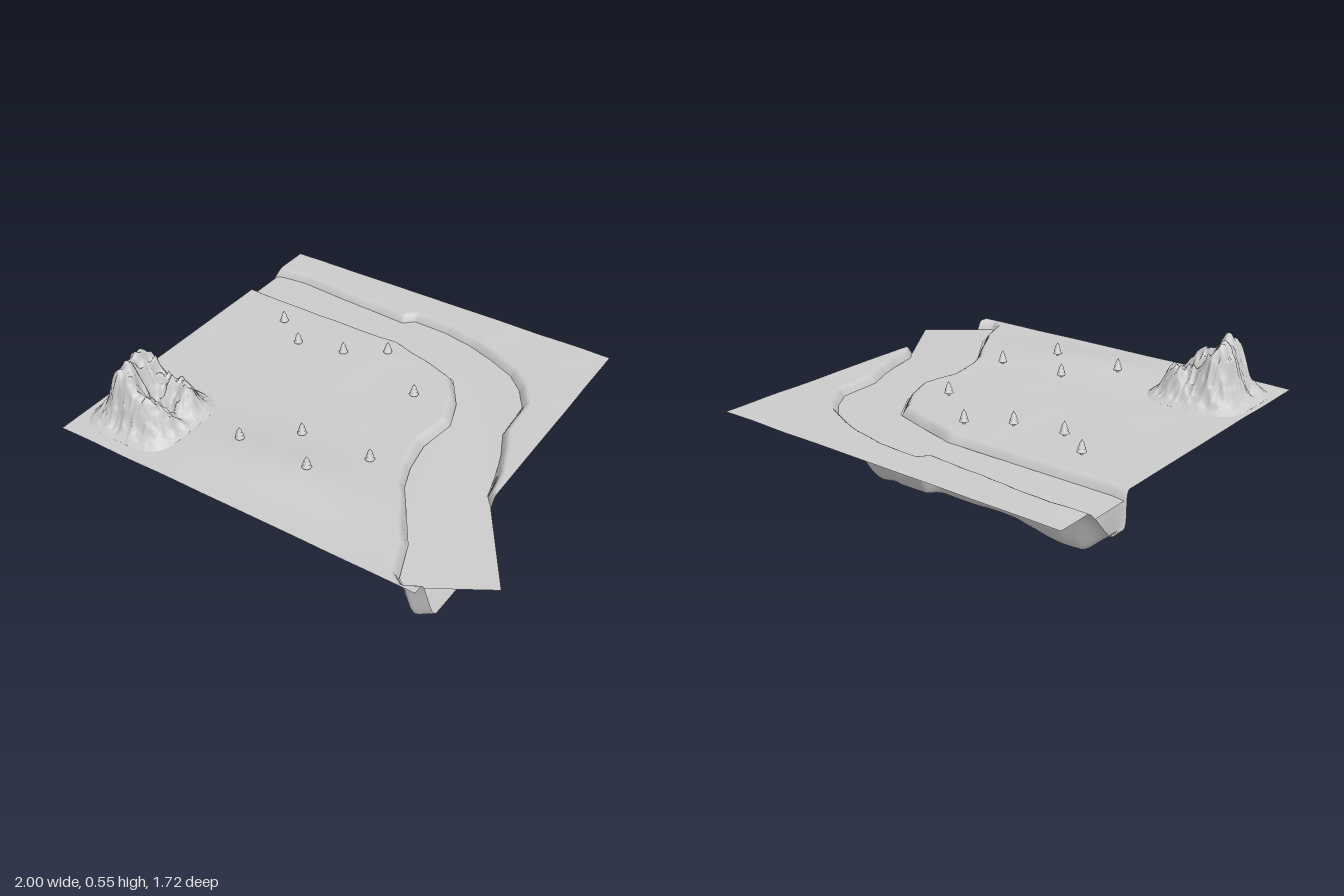
import * as THREE from 'three';

// Water outline as [x, z]: outer bank, then inner bank
const outer = [[-0.96, -0.66], [-0.91, -0.68], [-0.8, -0.685], [-0.57, -0.665], [-0.4, -0.66], [-0.2, -0.645], [-0.16, -0.685],
  [0.02, -0.68], [0.16, -0.65], [0.3, -0.6], [0.43, -0.54], [0.52, -0.46], [0.58, -0.36], [0.595, -0.15],
  [0.65, -0.03], [0.69, 0.1], [0.72, 0.22], [0.76, 0.27]];
const inner = [[0.7, 0.82], [0.66, 0.79], [0.6, 0.63], [0.5, 0.48], [0.42, 0.36], [0.38, 0.25], [0.355, 0.1],
  [0.38, -0.08], [0.33, -0.22], [0.23, -0.37], [0.1, -0.41], [-0.12, -0.47], [-0.96, -0.47]];
const mouth = [[0.995, 0.63]];
const waterOutline = [...outer, ...mouth, ...inner];
const channel = [[-1.3, -0.67], ...outer.slice(1), ...mouth, ...inner.slice(0, -1), [-1.3, -0.47]];

// River bed height against distance along the bend (x + z)
const bed = [[-1.6, 0.065], [-1.4, 0.065], [-1.1, 0.088], [-0.85, 0.07], [-0.58, 0.062], [-0.42, 0.035], [-0.22, 0.07],
  [0, 0.08], [0.3, 0.078], [0.55, 0.055], [0.8, 0.025], [1, 0.003], [1.25, 0], [1.6, 0.02]];

const { smoothstep, clamp, lerp } = THREE.MathUtils;

function bedHeight(s) {
  if (s <= bed[0][0]) return bed[0][1];
  for (let i = 1; i < bed.length; i++) {
    const [a, ya] = bed[i - 1], [b, yb] = bed[i];
    if (s <= b) return lerp(ya, yb, smoothstep(s, a, b));
  }
  return bed[bed.length - 1][1];
}

// Signed distance to the channel outline, positive inside
function channelDistance(x, z) {
  let best = Infinity, inside = false;
  channel.forEach(([ax, az], i) => {
    const [bx, bz] = channel[(i + 1) % channel.length];
    const dx = bx - ax, dz = bz - az;
    const t = clamp(((x - ax) * dx + (z - az) * dz) / (dx * dx + dz * dz), 0, 1);
    best = Math.min(best, Math.hypot(x - ax - t * dx, z - az - t * dz));
    if ((az > z) !== (bz > z) && x < ax + (dx * (z - az)) / dz) inside = !inside;
  });
  return inside ? best : -best;
}

// Smooth value noise in 0..1
function hash(i, j) {
  const s = Math.sin(i * 127.1 + j * 311.7) * 43758.5453;
  return s - Math.floor(s);
}
function noise(x, z) {
  const i = Math.floor(x), j = Math.floor(z);
  const u = smoothstep(x - i, 0, 1), v = smoothstep(z - j, 0, 1);
  return lerp(lerp(hash(i, j), hash(i + 1, j), u), lerp(hash(i, j + 1), hash(i + 1, j + 1), u), v);
}

const bump = (x, z, cx, cz, rx, rz) => Math.exp(-(((x - cx) / rx) ** 2) - ((z - cz) / rz) ** 2);

// Plain without the river: nearly flat with a low swell near the front
function groundHeight(x, z) {
  const swell = 0.03 * bump(x, z, -0.05, 0.58, 0.4, 0.17);
  return 0.272 + swell + 0.004 * (noise(x * 5, z * 5) - 0.5);
}

// Grid sheet whose vertices are moved by a rule
function sheet(x0, x1, z0, z1, n, rule) {
  const geo = new THREE.PlaneGeometry(x1 - x0, z1 - z0, n, n);
  geo.rotateX(-Math.PI / 2).translate((x0 + x1) / 2, 0, (z0 + z1) / 2);
  const p = geo.attributes.position;
  for (let i = 0; i < p.count; i++) p.setXYZ(i, ...rule(p.getX(i), p.getZ(i)));
  geo.computeVertexNormals();
  return geo;
}

function terrainPoint(x, z) {
  const ground = groundHeight(x, z);
  const wobble = 0.012 * (noise(x * 9 + 3, z * 9) - 0.5);
  const carve = smoothstep(channelDistance(x, z) + wobble, -0.03, 0.075);
  // upstream end lifts and bulges past the edge
  const end = 1 - smoothstep(x, -0.96, -0.87);
  const depth = (ground - bedHeight(x + z)) * carve * (1 - 0.45 * end);
  return [x - 0.04 * end * carve, ground - depth, z];
}

// Craggy mountain on a rounded-square foot, two ridges with a gully between
function mountainPoint(x, z) {
  const u = (x + 0.71) / 0.235, v = (z - 0.57) / 0.235;
  const edge = Math.pow(u ** 4 + v ** 4, 0.25);
  const mask = 1 - smoothstep(edge, 0.5, 1);
  const peaks = 0.2 * bump(x, z, -0.79, 0.51, 0.075, 0.085)
    + 0.18 * bump(x, z, -0.77, 0.64, 0.085, 0.07)
    + 0.09 * bump(x, z, -0.62, 0.47, 0.12, 0.06)
    + 0.09 * bump(x, z, -0.62, 0.68, 0.12, 0.07)
    - 0.04 * bump(x, z, -0.66, 0.575, 0.09, 0.03);
  const ridge = (f) => 1 - Math.abs(2 * noise(x * f + 7, z * f + 2) - 1);
  const crag = 0.055 * (ridge(16) - 0.4) + 0.03 * (ridge(34) - 0.5) + 0.014 * (ridge(70) - 0.5);
  const foot = 0.012 * (1 - smoothstep(edge, 0.85, 1));
  return [x, groundHeight(x, z) - 0.004 + foot + Math.max(0, peaks + crag + 0.02) * mask, z];
}

const trees = [[-0.65, -0.3], [-0.49, -0.19], [-0.27, -0.235], [-0.1, -0.345], [0.165, -0.135],
  [-0.085, 0.35], [0.24, 0.335], [-0.27, 0.53], [0.07, 0.535]];

export function createModel() {
  const model = new THREE.Group();
  const grey = new THREE.MeshStandardMaterial({ color: 0xcccccc, side: THREE.DoubleSide });

  const add = (name, geo, parent = model) => {
    const mesh = new THREE.Mesh(geo, grey);
    mesh.name = name;
    parent.add(mesh);
    return mesh;
  };

  // Ground with the carved river bed
  add('terrain', sheet(-0.96, 0.765, -0.865, 0.855, 180, terrainPoint));

  // River surface, dipping slightly at the mouth
  const shape = new THREE.Shape(waterOutline.map(([x, z]) => new THREE.Vector2(x, -z)));
  const water = new THREE.ShapeGeometry(shape).rotateX(-Math.PI / 2);
  const wp = water.attributes.position;
  for (let i = 0; i < wp.count; i++) wp.setY(i, 0.236 - 0.04 * Math.max(0, wp.getX(i) - 0.55));
  water.computeVertexNormals();
  add('riverWater', water);

  add('mountain', sheet(-0.945, -0.475, 0.335, 0.805, 90, mountainPoint));

  // Conifers: short trunk and three stacked tiers
  const trunk = new THREE.CylinderGeometry(0.005, 0.006, 0.02, 8).translate(0, 0.008, 0);
  const tiers = [[0.021, 0.032, 0.028], [0.017, 0.028, 0.041], [0.012, 0.022, 0.054]]
    .map(([r, h, y]) => new THREE.ConeGeometry(r, h, 10).translate(0, y, 0));
  for (const [x, z] of trees) {
    const tree = new THREE.Group();
    tree.name = 'tree';
    tree.position.set(x, groundHeight(x, z) - 0.001, z);
    add('trunk', trunk, tree);
    tiers.forEach((geo) => add('foliage', geo, tree));
    model.add(tree);
  }
  return model;
}
